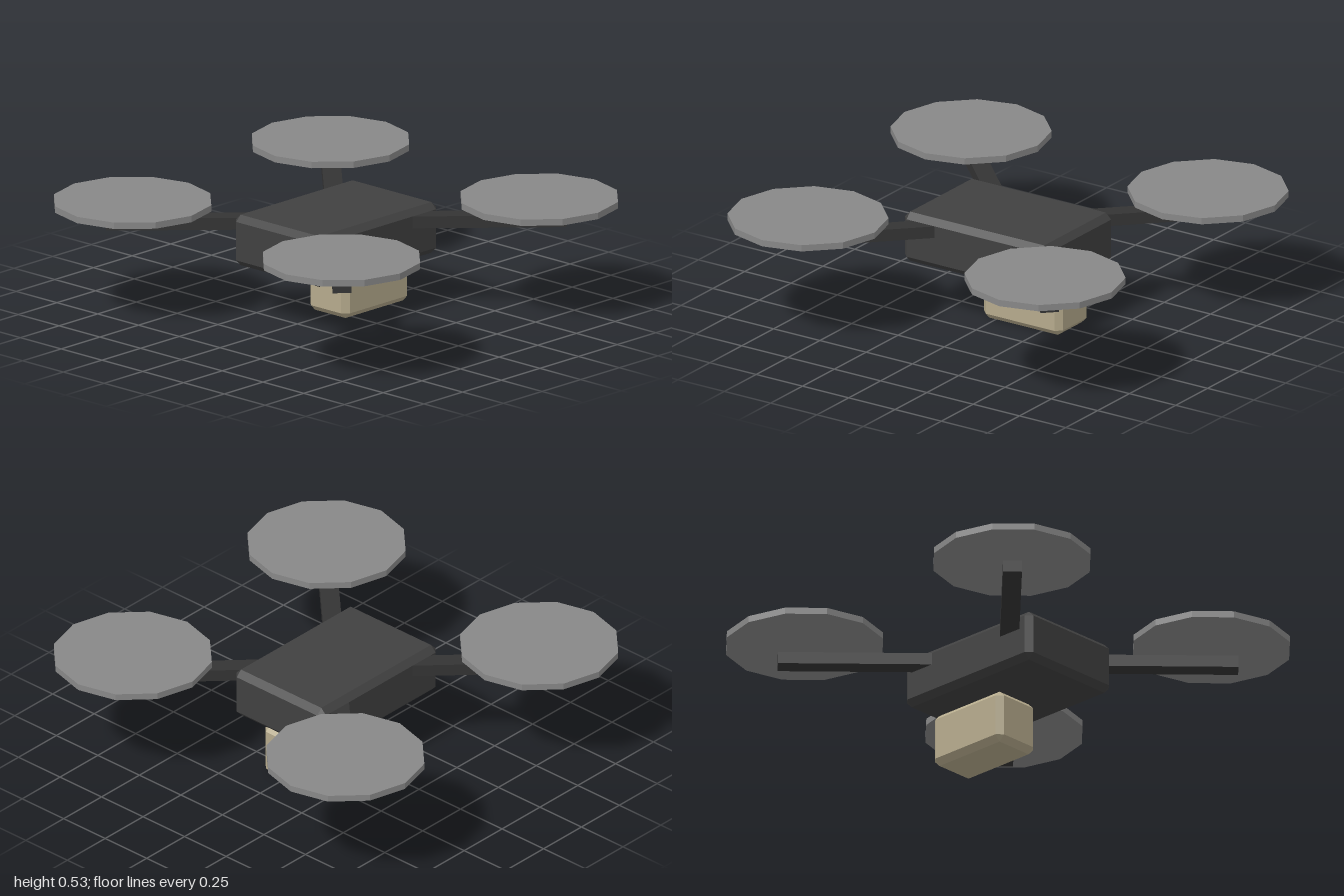
import * as THREE from 'three';
import { ConvexGeometry } from 'three/addons/geometries/ConvexGeometry.js';

const material = (color) => new THREE.MeshStandardMaterial({ color, flatShading: true });

// Box with every edge cut by a flat chamfer
function chamferedBox(width, height, depth, cut) {
  const half = [width / 2, height / 2, depth / 2];
  const points = [];
  for (const sx of [-1, 1]) for (const sy of [-1, 1]) for (const sz of [-1, 1]) {
    for (let face = 0; face < 3; face++) {
      const [x, y, z] = half.map((h, axis) => (axis === face ? h : h - cut));
      points.push(new THREE.Vector3(sx * x, sy * y, sz * z));
    }
  }
  return new ConvexGeometry(points);
}

export function createModel() {
  const group = new THREE.Group();
  const dark = material(0x404040);
  const armMaterial = material(0x343434);
  const rotorMaterial = material(0x888888);
  const tan = material(0xb5aa8c);

  function add(name, geometry, mat, x, y, z) {
    const mesh = new THREE.Mesh(geometry, mat);
    mesh.name = name;
    mesh.position.set(x, y, z);
    group.add(mesh);
    return mesh;
  }

  // Central hull
  add('body', chamferedBox(0.54, 0.235, 0.78, 0.028), dark, 0, 0.365, 0);

  // Parcel hung below, towards the back
  add('cargoBox', chamferedBox(0.24, 0.245, 0.425, 0.027), tan, 0, 0.1225, -0.148);

  // Two diagonal beams crossing inside the hull
  const beam = new THREE.BoxGeometry(2.05, 0.055, 0.085);
  for (const side of [-1, 1]) {
    add(side < 0 ? 'armBeamA' : 'armBeamB', beam, armMaterial, 0, 0.427, 0).rotation.y = side * Math.PI / 4;
  }

  // Twelve-sided rotor discs above the arm ends
  const disc = new THREE.CylinderGeometry(0.36, 0.36, 0.03, 12);
  for (const sx of [-1, 1]) for (const sz of [-1, 1]) {
    add((sz > 0 ? 'front' : 'back') + (sx > 0 ? 'Left' : 'Right') + 'Rotor',
      disc, rotorMaterial, sx * 0.64, 0.515, sz * 0.64);
  }

  return group;
}
